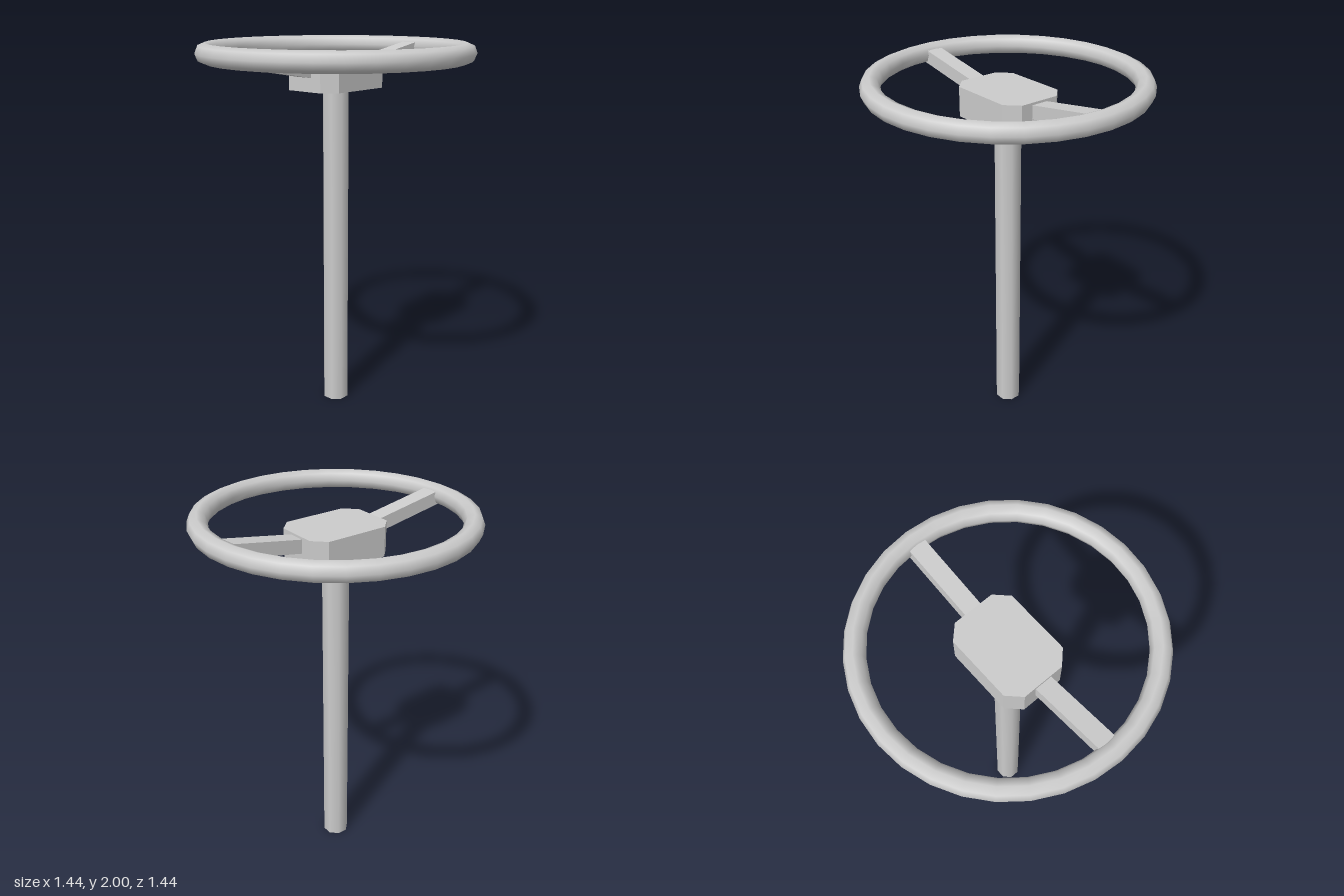
import * as THREE from 'three';

const grey = (options = {}) => new THREE.MeshStandardMaterial({ color: 0xcccccc, ...options });

function addPart(parent, name, geometry, material) {
  const mesh = new THREE.Mesh(geometry, material);
  mesh.name = name;
  parent.add(mesh);
  return mesh;
}

export function createModel() {
  const group = new THREE.Group();
  group.name = 'steeringWheel';

  // Smooth eight-sided column, open at its ends
  const column = addPart(group, 'column',
    new THREE.CylinderGeometry(0.071, 0.071, 1.79, 8, 1, true),
    grey({ side: THREE.DoubleSide }));
  column.position.y = 0.895;
  column.rotation.y = Math.PI / 8;

  // Hub block with chamfered corners
  const w = 0.173, d = 0.235, c = 0.065;
  const outline = new THREE.Shape([
    [w, -d + c], [w, d - c], [w - c, d], [-w + c, d],
    [-w, d - c], [-w, -d + c], [-w + c, -d], [w - c, -d],
  ].map(([x, y]) => new THREE.Vector2(x, y)));
  const hub = new THREE.ExtrudeGeometry(outline, { depth: 0.153, bevelEnabled: false });
  hub.rotateX(-Math.PI / 2).translate(0, 1.764, 0);
  addPart(group, 'hub', hub, grey({ flatShading: true }));

  // Two spokes rising from the hub to the rim
  const inner = 0.2, outer = 0.645, slope = 0.17;
  for (const side of [1, -1]) {
    const spoke = new THREE.BoxGeometry(0.09, 0.07, outer - inner);
    spoke.translate(0, 0, (inner + outer) / 2);
    const p = spoke.attributes.position;
    for (let i = 0; i < p.count; i++) {
      p.setY(i, p.getY(i) + 1.87 + slope * (p.getZ(i) - d));
    }
    if (side < 0) spoke.rotateY(Math.PI);
    addPart(group, side > 0 ? 'frontSpoke' : 'backSpoke', spoke, grey({ flatShading: true }));
  }

  // Round rim
  const rim = new THREE.TorusGeometry(0.669, 0.051, 8, 32);
  rim.rotateX(Math.PI / 2).translate(0, 1.949, 0);
  addPart(group, 'rim', rim, grey());

  return group;
}
